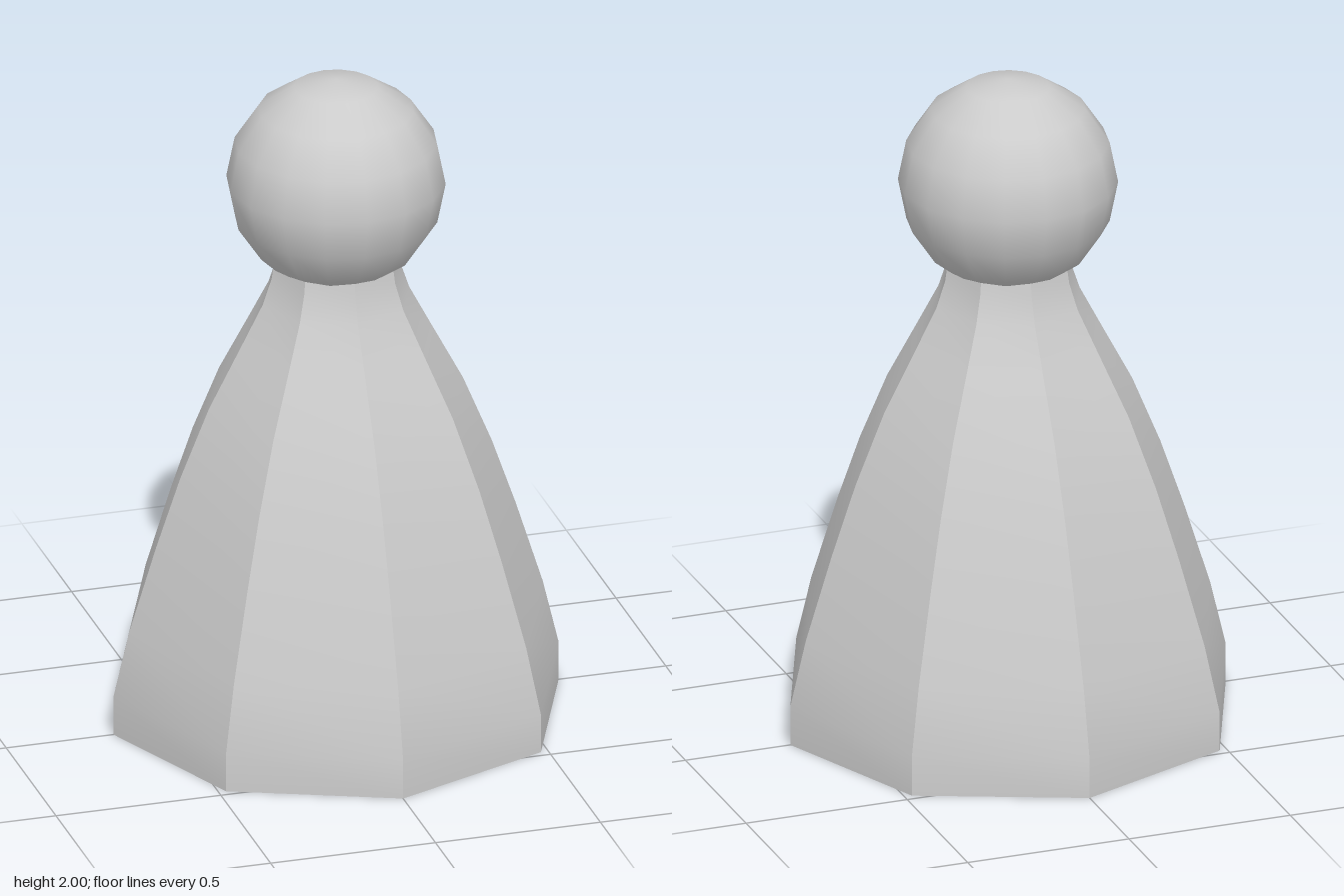
import * as THREE from 'three';
import { toCreasedNormals } from 'three/addons/utils/BufferGeometryUtils.js';

export function createModel() {
  const group = new THREE.Group();
  const material = new THREE.MeshStandardMaterial({ color: 0xcccccc });

  // Eight-sided flared body: [radius, height], closed underneath
  const profile = [
    [0, 0], [0.675, 0], [0.675, 0.12], [0.627, 0.32], [0.545, 0.58],
    [0.472, 0.79], [0.385, 1.0], [0.29, 1.18], [0.222, 1.31], [0.195, 1.39], [0.185, 1.46],
  ].map(([r, y]) => new THREE.Vector2(r, y));
  const body = new THREE.Mesh(
    toCreasedNormals(new THREE.LatheGeometry(profile, 8), 0.55),
    material
  );
  body.name = 'body';

  // Smooth ball head, slightly sunk onto the neck
  const head = new THREE.Mesh(new THREE.SphereGeometry(0.32, 16, 8), material);
  head.name = 'head';
  head.position.y = 1.68;

  group.add(body, head);
  return group;
}
